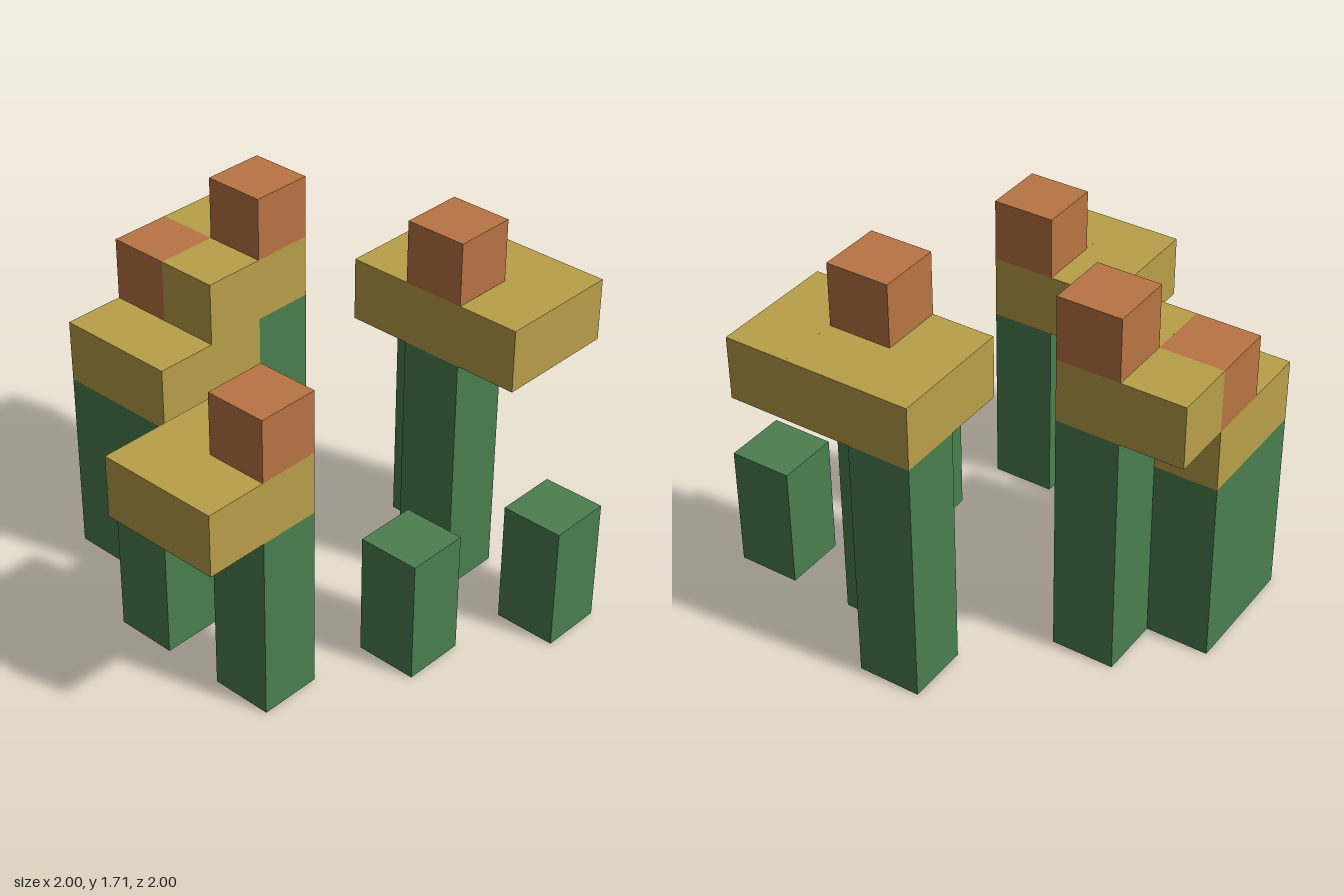
import * as THREE from 'three';
import { mergeGeometries } from 'three/addons/utils/BufferGeometryUtils.js';

const U = 2 / 7; // edge of one block
const DIRS = [[1, 0, 0], [-1, 0, 0], [0, 1, 0], [0, -1, 0], [0, 0, 1], [0, 0, -1]];

function material(name, color) {
  const m = new THREE.MeshStandardMaterial({ color, side: THREE.DoubleSide });
  m.name = name;
  return m;
}

export function createModel() {
  const green = material('leaf green', 0x4b7f4f);
  const yellow = material('straw yellow', 0xbaa04a);
  const orange = material('clay orange', 0xb97443);

  // Each part is a list of block runs: [column x, level y, row z, width, height, depth]
  const parts = [
    // low stubs
    ['frontStub', green, [[5, 0, 6, 1, 2, 1]]],
    ['middleStub', green, [[3, 0, 5, 1, 2, 1]]],
    ['sideStub', green, [[1, 0, 2, 1, 2, 1]]],
    // small tree
    ['smallTrunk', green, [[1, 0, 4, 1, 3, 1]]],
    ['smallCanopy', yellow, [[0, 3, 3, 2, 1, 2]]],
    ['smallTop', orange, [[1, 4, 4, 1, 1, 1]]],
    // wide tree on two diagonal trunks
    ['wideTrunks', green, [[5, 0, 4, 1, 4, 1], [6, 0, 3, 1, 4, 1]]],
    ['wideCanopy', yellow, [[5, 4, 3, 2, 1, 3]]],
    ['wideTop', orange, [[5, 5, 4, 1, 1, 1]]],
    // two grown-together trees at the back
    ['backLowTrunk', green, [[2, 0, 0, 2, 3, 1], [2, 0, 1, 1, 3, 1]]],
    ['backTallTrunk', green, [[4, 0, 1, 1, 4, 1]]],
    ['backLowCanopy', yellow, [[2, 3, 0, 2, 1, 2]]],
    ['backHighCanopy', yellow, [[3, 4, 1, 2, 1, 1], [4, 4, 0, 1, 1, 1]]],
    ['backLowTop', orange, [[3, 4, 0, 1, 1, 1]]],
    ['backHighTop', orange, [[4, 5, 1, 1, 1, 1]]],
  ];

  const cellsOf = (runs) => runs.flatMap(([x, y, z, w, h, d]) => {
    const cells = [];
    for (let i = 0; i < w; i++)
      for (let j = 0; j < h; j++)
        for (let k = 0; k < d; k++) cells.push([x + i, y + j, z + k]);
    return cells;
  });
  const filled = new Set(parts.flatMap(([, , runs]) => cellsOf(runs).map(String)));

  const group = new THREE.Group();
  group.name = 'blockGrove';
  for (const [name, mat, runs] of parts) {
    const faces = [];
    for (const cell of cellsOf(runs)) {
      for (const dir of DIRS) {
        // only exposed faces; the trunks are open where they meet the ground
        const next = cell.map((c, a) => c + dir[a]);
        if (next[1] < 0 || filled.has(String(next))) continue;
        const face = new THREE.PlaneGeometry(U, U).lookAt(new THREE.Vector3(...dir));
        face.translate(
          (cell[0] - 3 + dir[0] / 2) * U,
          (cell[1] + 0.5 + dir[1] / 2) * U,
          (cell[2] - 3 + dir[2] / 2) * U,
        );
        faces.push(face);
      }
    }
    const mesh = new THREE.Mesh(mergeGeometries(faces), mat);
    mesh.name = name;
    group.add(mesh);
  }
  return group;
}
